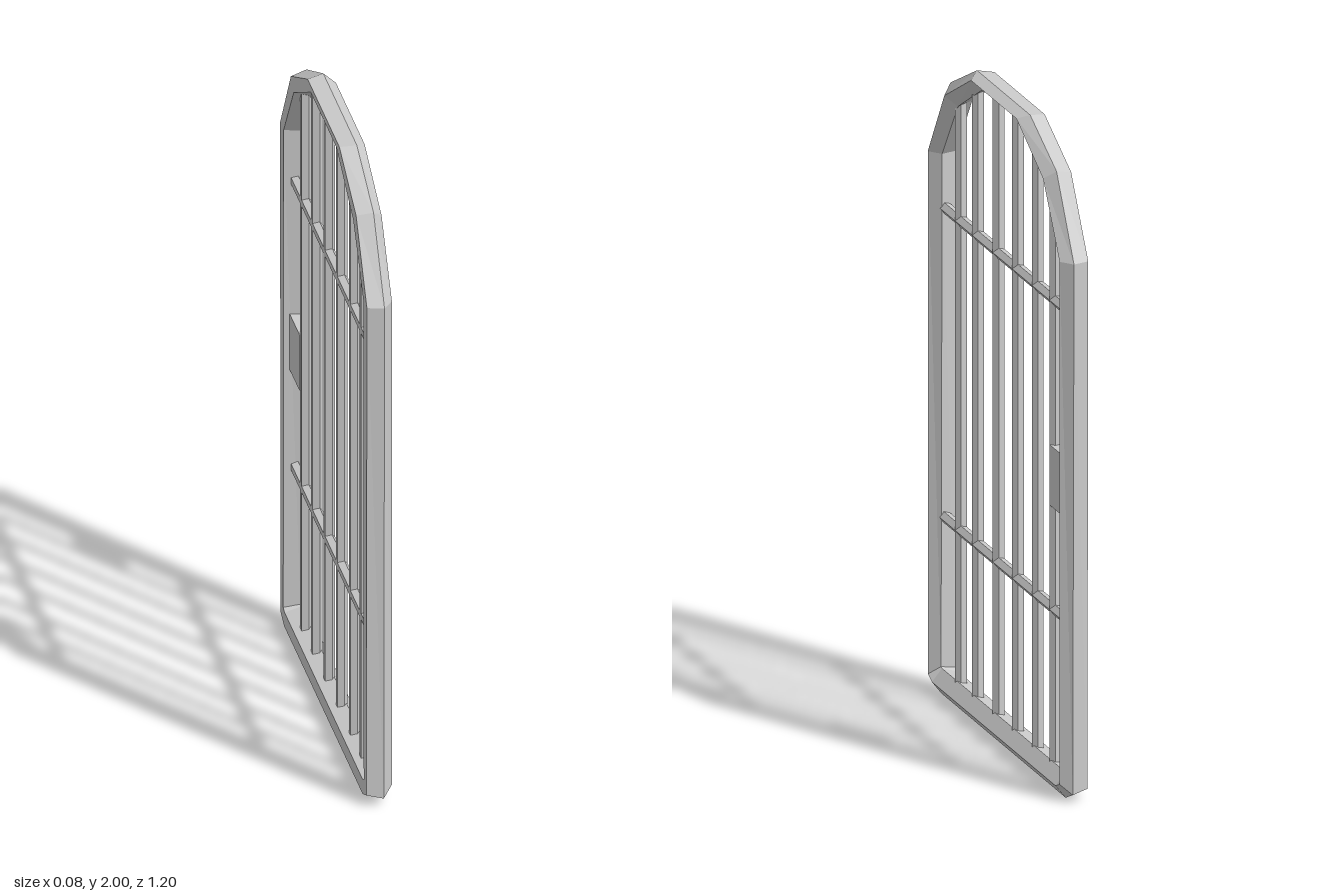
import * as THREE from 'three';

const material = new THREE.MeshStandardMaterial({ color: 0xcccccc, flatShading: true });
const SIDES = 5;
const CENTRE_X = -0.004;

function addMesh(group, name, geometry) {
  const mesh = new THREE.Mesh(geometry, material);
  mesh.name = name;
  group.add(mesh);
  return mesh;
}

// Closed five-sided tube through rings given as [outer z, outer y, inner z, inner y]
function frameGeometry(rings, radius) {
  const positions = [], index = [];
  rings.forEach(([oz, oy, iz, iy], i) => {
    const next = (i + 1) % rings.length;
    for (let j = 0; j < SIDES; j++) {
      const angle = (j / SIDES) * Math.PI * 2;
      const t = Math.sin(angle) / Math.sin((2 * Math.PI) / SIDES) / 2;
      positions.push(
        CENTRE_X + radius * Math.cos(angle),
        (oy + iy) / 2 + (oy - iy) * t,
        (oz + iz) / 2 + (oz - iz) * t
      );
      const k = (j + 1) % SIDES;
      const a = i * SIDES + j, b = i * SIDES + k;
      const c = next * SIDES + k, d = next * SIDES + j;
      index.push(a, d, c, a, c, b);
    }
  });
  const geometry = new THREE.BufferGeometry();
  geometry.setAttribute('position', new THREE.Float32BufferAttribute(positions, 3));
  geometry.setIndex(index);
  geometry.computeVertexNormals();
  return geometry;
}

// Five-sided rod with one ridge towards +x
const rod = (length) =>
  new THREE.CylinderGeometry(0.018, 0.018, length, SIDES, 1, false, Math.PI / 2);

export function createModel() {
  const gate = new THREE.Group();
  gate.name = 'barredGate';

  // Arched outer frame, one half mirrored to the other
  const half = [
    [0.527, 0.002, 0.522, 0.08],
    [0.587, 0.028, 0.53, 0.083],
    [0.598, 1.655, 0.521, 1.655],
    [0.45, 1.895, 0.388, 1.84],
    [0.226, 2.0, 0.16, 1.965],
  ];
  const mirrored = half.map(([oz, oy, iz, iy]) => [-oz, oy, -iz, iy]).reverse();
  addMesh(gate, 'frame', frameGeometry([...half, ...mirrored], 0.0442));

  // Upright bars reaching into the arch: [z, top]
  const bottom = 0.06;
  [[0.4, 1.87], [0.255, 1.945], [0.08, 1.98], [-0.085, 1.98], [-0.253, 1.945], [-0.4, 1.87]]
    .forEach(([z, top]) => {
      addMesh(gate, 'uprightBar', rod(top - bottom))
        .position.set(CENTRE_X, (top + bottom) / 2, z);
    });

  // Cross bars
  for (const y of [0.54, 1.487]) {
    addMesh(gate, 'crossBar', rod(1.06).rotateX(Math.PI / 2)).position.set(CENTRE_X, y, 0);
  }

  // Lock plate between the last bar and the frame
  addMesh(gate, 'lockPlate', new THREE.BoxGeometry(0.036, 0.185, 0.135))
    .position.set(CENTRE_X, 0.953, -0.47);

  return gate;
}
